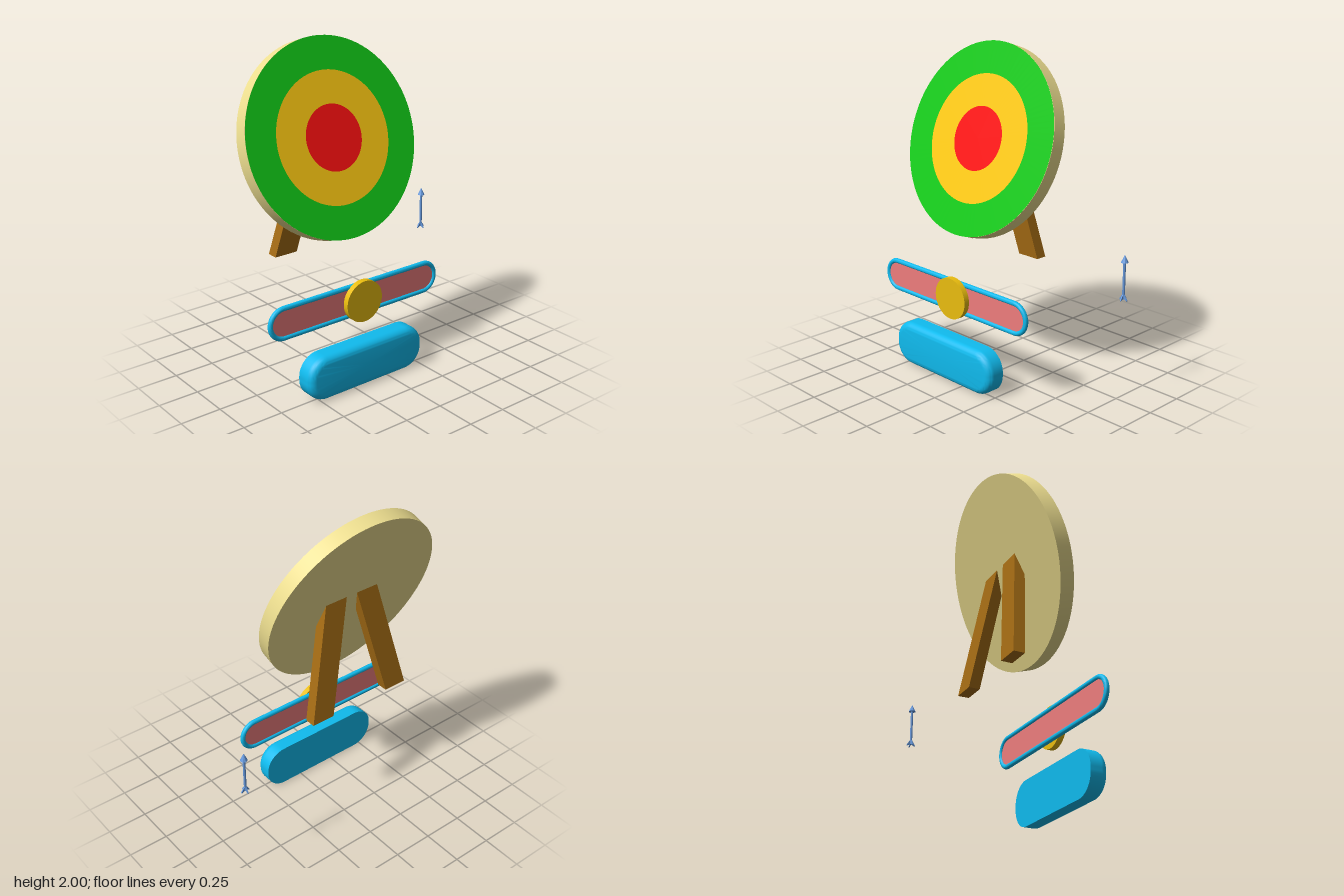
import * as THREE from 'three';
import { toCreasedNormals } from 'three/addons/utils/BufferGeometryUtils.js';

function add(parent, name, geometry, color, x = 0, y = 0, z = 0) {
  const material = new THREE.MeshStandardMaterial({ color });
  const mesh = new THREE.Mesh(geometry, material);
  mesh.name = name;
  mesh.position.set(x, y, z);
  parent.add(mesh);
  return mesh;
}

// Outline of a rounded rectangle, counter-clockwise, shrunk by inset
function outline(hw, hh, r, inset) {
  const points = [], steps = 12;
  [[1, 1], [-1, 1], [-1, -1], [1, -1]].forEach(([sx, sy], k) => {
    for (let i = 0; i <= steps; i++) {
      const a = (k + i / steps) * Math.PI / 2;
      points.push([sx * (hw - r) + (r - inset) * Math.cos(a), sy * (hh - r) + (r - inset) * Math.sin(a)]);
    }
  });
  return points;
}

// Skin over rounded rectangles given as [inset, z] sections from back to front
function loft(hw, hh, r, sections, capped) {
  const pos = [];
  const rings = sections.map(([inset, z]) => outline(hw, hh, r, inset).map(([x, y]) => [x, y, z]));
  const n = rings[0].length;
  const tri = (a, b, c) => pos.push(...a, ...b, ...c);
  for (let i = 0; i < n; i++) {
    const j = (i + 1) % n;
    for (let s = 0; s < rings.length - 1; s++) {
      const p = rings[s], q = rings[s + 1];
      tri(p[i], p[j], q[j]);
      tri(p[i], q[j], q[i]);
    }
    if (capped) {
      const back = rings[0], front = rings[rings.length - 1];
      tri([0, 0, sections[0][1]], back[j], back[i]);
      tri([0, 0, sections[sections.length - 1][1]], front[i], front[j]);
    }
  }
  const geometry = new THREE.BufferGeometry();
  geometry.setAttribute('position', new THREE.Float32BufferAttribute(pos, 3));
  return toCreasedNormals(geometry, 0.7);
}

// Leaning leg whose top is cut flush with the back of the tilted board
function legGeometry(side) {
  const geometry = new THREE.BoxGeometry(1, 1, 1);
  const p = geometry.attributes.position;
  for (let i = 0; i < p.count; i++) {
    const top = p.getY(i) > 0, front = p.getZ(i) > 0;
    const y = top ? (front ? 1.325 : 1.468) : 0.755;
    const z = top ? (front ? -0.066 : -0.114) : (front ? -0.14 : -0.209);
    const x = -0.145 + side * (0.28 - 0.235 * (y - 0.755)) + p.getX(i) * 0.15;
    p.setXYZ(i, x, y, z);
  }
  geometry.computeVertexNormals();
  return geometry;
}

export function createModel() {
  const model = new THREE.Group();
  model.name = 'targetGame';

  // Tilted round target with painted rings
  const target = new THREE.Group();
  target.name = 'target';
  target.position.set(-0.163, 1.446, -0.012);
  target.rotation.x = -0.316;
  model.add(target);
  const R = 0.585;
  add(target, 'targetBoard', new THREE.CylinderGeometry(R, R, 0.09, 96).rotateX(Math.PI / 2), 0xeedf90, 0, 0, -0.046);
  add(target, 'outerRing', new THREE.RingGeometry(0.389, R, 96), 0x11cc17, 0, 0, 0.001);
  add(target, 'middleRing', new THREE.RingGeometry(0.194, 0.389, 96), 0xffcc11, 0, 0, 0.001);
  add(target, 'bullseye', new THREE.CircleGeometry(0.194, 96), 0xff1010, 0, 0, 0.001);

  // Two splayed legs behind the target
  add(model, 'rightLeg', legGeometry(-1), 0xa56c14);
  add(model, 'leftLeg', legGeometry(1), 0xa56c14);

  // Power bar: rounded frame, thin panel and round marker
  const bar = new THREE.Group();
  bar.name = 'powerBar';
  bar.position.set(-0.166, 0.515, 0.194);
  model.add(bar);
  const t = 0.015, frame = [];
  for (let i = 0; i <= 16; i++) {
    const a = i / 16 * Math.PI * 2;
    frame.push([t - t * Math.cos(a), t * Math.sin(a)]);
  }
  add(bar, 'barFrame', loft(0.62, 0.105, 0.105, frame, false), 0x10bbee);
  add(bar, 'barPanel', loft(0.605, 0.09, 0.09, [[0, -0.005], [0, 0.005]], true), 0xee7d7d);
  add(model, 'barMarker', new THREE.CylinderGeometry(0.128, 0.128, 0.036, 64).rotateX(Math.PI / 2),
    0xeabd0f, -0.142, 0.511, 0.225);

  // Button with a flat back and a rounded front edge
  const bevel = 0.045, button = [[0, 0.195]];
  for (let i = 0; i <= 8; i++) {
    const a = i / 8 * Math.PI / 2;
    button.push([bevel * (1 - Math.cos(a)), 0.309 - bevel + bevel * Math.sin(a)]);
  }
  add(model, 'button', loft(0.422, 0.1375, 0.128, button, true), 0x10bbee, -0.163, 0.1375, 0);

  // Small upright arrow: shaft, pointed head and crossed tail fins
  const arrow = new THREE.Group();
  arrow.name = 'arrow';
  arrow.position.set(0.753, 0.606, -0.28);
  model.add(arrow);
  const blue = 0x6699dd;
  add(arrow, 'arrowShaft', new THREE.CylinderGeometry(0.008, 0.008, 0.23, 8), blue, 0, 0.125, 0);
  const head = add(arrow, 'arrowHead', new THREE.ConeGeometry(0.022, 0.046, 8), blue, 0, 0.252, 0);
  head.material.flatShading = true;
  const fin = new THREE.Shape([[0, 0.048], [-0.027, 0.006], [-0.027, 0], [0, 0.014], [0.027, 0], [0.027, 0.006]]
    .map(([x, y]) => new THREE.Vector2(x, y)));
  for (let i = 0; i < 2; i++) {
    const geometry = new THREE.ExtrudeGeometry(fin, { depth: 0.006, bevelEnabled: false }).translate(0, 0, -0.003);
    add(arrow, 'tailFin', geometry, blue).rotation.y = i * Math.PI / 2;
  }
  return model;
}
